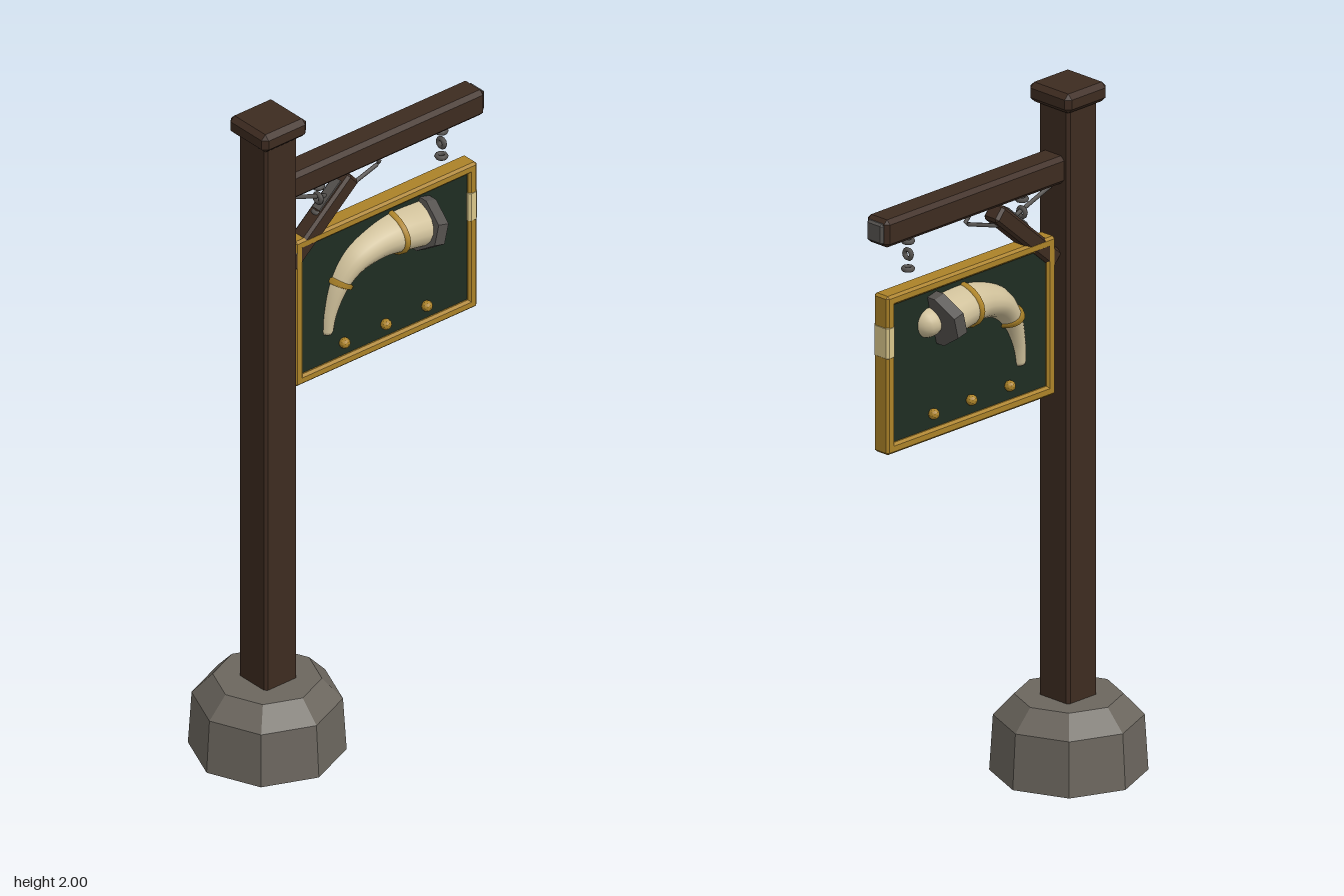
import * as THREE from 'three';
import { ConvexGeometry } from 'three/addons/geometries/ConvexGeometry.js';
import { ParametricGeometry } from 'three/addons/geometries/ParametricGeometry.js';

const material = (name, color, side = THREE.FrontSide) => {
  const m = new THREE.MeshStandardMaterial({ color, side });
  m.name = name;
  return m;
};

// Faceted copy of a geometry
function flat(geometry) {
  const g = geometry.index ? geometry.toNonIndexed() : geometry;
  g.computeVertexNormals();
  return g;
}

// Box with bevelled edges
function bevelBox(w, h, d, c) {
  const points = [];
  for (const sx of [-1, 1]) for (const sy of [-1, 1]) for (const sz of [-1, 1]) {
    const [x, y, z] = [w / 2, h / 2, d / 2];
    points.push(
      new THREE.Vector3(sx * x, sy * (y - c), sz * (z - c)),
      new THREE.Vector3(sx * (x - c), sy * y, sz * (z - c)),
      new THREE.Vector3(sx * (x - c), sy * (y - c), sz * z));
  }
  return new ConvexGeometry(points);
}

// Horn centreline in x and y, with the radius stored in z
const hornPath = new THREE.CatmullRomCurve3([
  [-0.066, 1.232, 0.02], [-0.056, 1.306, 0.025], [-0.024, 1.391, 0.035], [0.024, 1.444, 0.045],
  [0.093, 1.47, 0.053], [0.156, 1.476, 0.061], [0.257, 1.467, 0.067],
].map((p) => new THREE.Vector3(...p)));
const HORN_DEPTH = 1.45;

// Oval tube along part of the horn; radiusAt(radius, s) shapes it
function hornSection(from, to, steps, radiusAt) {
  return new ParametricGeometry((u, s, target) => {
    const v = from + (to - from) * s;
    const p = hornPath.getPoint(v);
    const t = hornPath.getTangent(v).setZ(0).normalize();
    const a = u * Math.PI * 2;
    const r = radiusAt(p.z, s);
    target.set(p.x - t.y * Math.cos(a) * r, p.y + t.x * Math.cos(a) * r, Math.sin(a) * r * HORN_DEPTH);
  }, 20, steps);
}

export function createModel() {
  const wood = material('dark wood', 0x3d2b20);
  const stone = material('grey stone', 0x6b665e, THREE.DoubleSide);
  const iron = material('iron', 0x55524f);
  const gold = material('gold', 0xab8228);
  const paleGold = material('pale gold', 0xd9c68a);
  const green = material('dark green', 0x1e2c22);
  const ivory = material('ivory', 0xcfc09a);

  const model = new THREE.Group();
  model.name = 'hangingSign';
  const add = (name, geometry, mat, x = 0, y = 0, z = 0) => {
    const mesh = new THREE.Mesh(geometry, mat);
    mesh.name = name;
    mesh.position.set(x, y, z);
    model.add(mesh);
    return mesh;
  };
  const postX = -0.262;

  // Hollow eight-sided stone footing, open below
  const footing = [[0.05, 0.226], [0.148, 0.226], [0.205, 0.165], [0.215, 0.005]];
  const profile = footing.reverse().map(([r, y]) => new THREE.Vector2(r, y));
  add('stoneFooting', flat(new THREE.LatheGeometry(profile, 8)), stone, postX - 0.003);

  // Post and cap
  add('post', bevelBox(0.115, 1.89, 0.115, 0.008), wood, postX, 1.015);
  add('postCap', bevelBox(0.157, 0.056, 0.157, 0.014), wood, postX, 1.972);

  // Arm with iron end plate, and diagonal brace
  add('arm', bevelBox(0.695, 0.08, 0.084, 0.012), wood, 0.1275, 1.77);
  add('armEndPlate', bevelBox(0.022, 0.06, 0.06, 0.006), iron, 0.472, 1.77);
  const brace = add('brace', bevelBox(0.3, 0.052, 0.055, 0.008), wood, -0.088, 1.605);
  brace.rotation.z = 0.72;
  const strap = new THREE.Mesh(new THREE.BoxGeometry(0.1, 0.006, 0.03), iron);
  strap.name = 'braceStrap';
  strap.position.set(0.07, 0.028, 0);
  brace.add(strap);

  // Thin bent iron scroll under the arm
  const bends = [[-0.193, 1.717], [-0.013, 1.652], [0.135, 1.698], [0.1, 1.738]]
    .map(([x, y]) => new THREE.Vector3(x, y, 0));
  const scroll = new THREE.CurvePath();
  for (let i = 0; i < bends.length - 1; i++) scroll.add(new THREE.LineCurve3(bends[i], bends[i + 1]));
  add('ironScroll', new THREE.TubeGeometry(scroll, 24, 0.006, 6), iron);

  // Two hanging chains of alternating links
  for (const x of [-0.085, 0.352]) {
    [1.71, 1.672, 1.63].forEach((y, i) => {
      const link = add('chainLink', new THREE.TorusGeometry(0.013, 0.007, 6, 10), iron, x, y);
      if (i % 2) link.rotation.y = Math.PI / 2;
      else link.rotation.x = Math.PI / 2;
    });
  }

  // Sign board and its frame, with one pale stretch on the outer upright
  const [left, right, bottom, top] = [-0.188, 0.458, 1.122, 1.582];
  const bar = 0.03, depth = 0.056, midX = (left + right) / 2, midY = (bottom + top) / 2;
  add('board', new THREE.BoxGeometry(right - left - 0.03, top - bottom - 0.03, 0.034), green, midX, midY);
  for (const y of [bottom + bar / 2, top - bar / 2])
    add('frameRail', bevelBox(right - left, bar, depth, 0.007), gold, midX, y);
  add('frameUpright', bevelBox(bar, top - bottom, depth, 0.007), gold, left + bar / 2, midY);
  add('frameUpright', bevelBox(bar, top - bottom, depth, 0.007), gold, right - bar / 2, midY);
  add('framePaleStretch', bevelBox(bar + 0.002, 0.1, depth + 0.002, 0.007), paleGold, right - bar / 2, 1.447);

  // Horn passing through the board, seen on both faces
  add('horn', hornSection(0, 1, 48, (r, s) => r * Math.min(1, Math.sqrt(s * 40))), ivory);
  for (const v of [0.33, 0.835])
    add('hornBand', hornSection(v - 0.018, v + 0.018, 4, (r, s) => r * 0.95 + 0.009 * Math.min(1, Math.sin(s * Math.PI) * 1.5)), gold);

  // Eight-sided iron rim and rounded mouth plug
  const mouth = new THREE.Group();
  mouth.name = 'hornMouth';
  mouth.position.set(0.26, 1.468, 0);
  mouth.rotation.z = -0.24;
  model.add(mouth);
  const rimShape = new THREE.CylinderGeometry(0.08, 0.08, 0.036, 8);
  rimShape.rotateY(Math.PI / 8).rotateZ(Math.PI / 2);
  const rim = new THREE.Mesh(flat(rimShape), iron);
  rim.name = 'hornRim';
  rim.scale.z = 1.48;
  const plug = new THREE.Mesh(new THREE.SphereGeometry(0.045, 16, 12), ivory);
  plug.name = 'mouthPlug';
  plug.position.x = 0.03;
  plug.scale.z = 1.25;
  mouth.add(rim, plug);

  // Row of gold studs on each face
  for (const x of [-0.013, 0.134, 0.279]) for (const side of [-1, 1])
    add('stud', flat(new THREE.IcosahedronGeometry(0.016, 1)), gold, x, 1.195, side * 0.026);

  return model;
}
